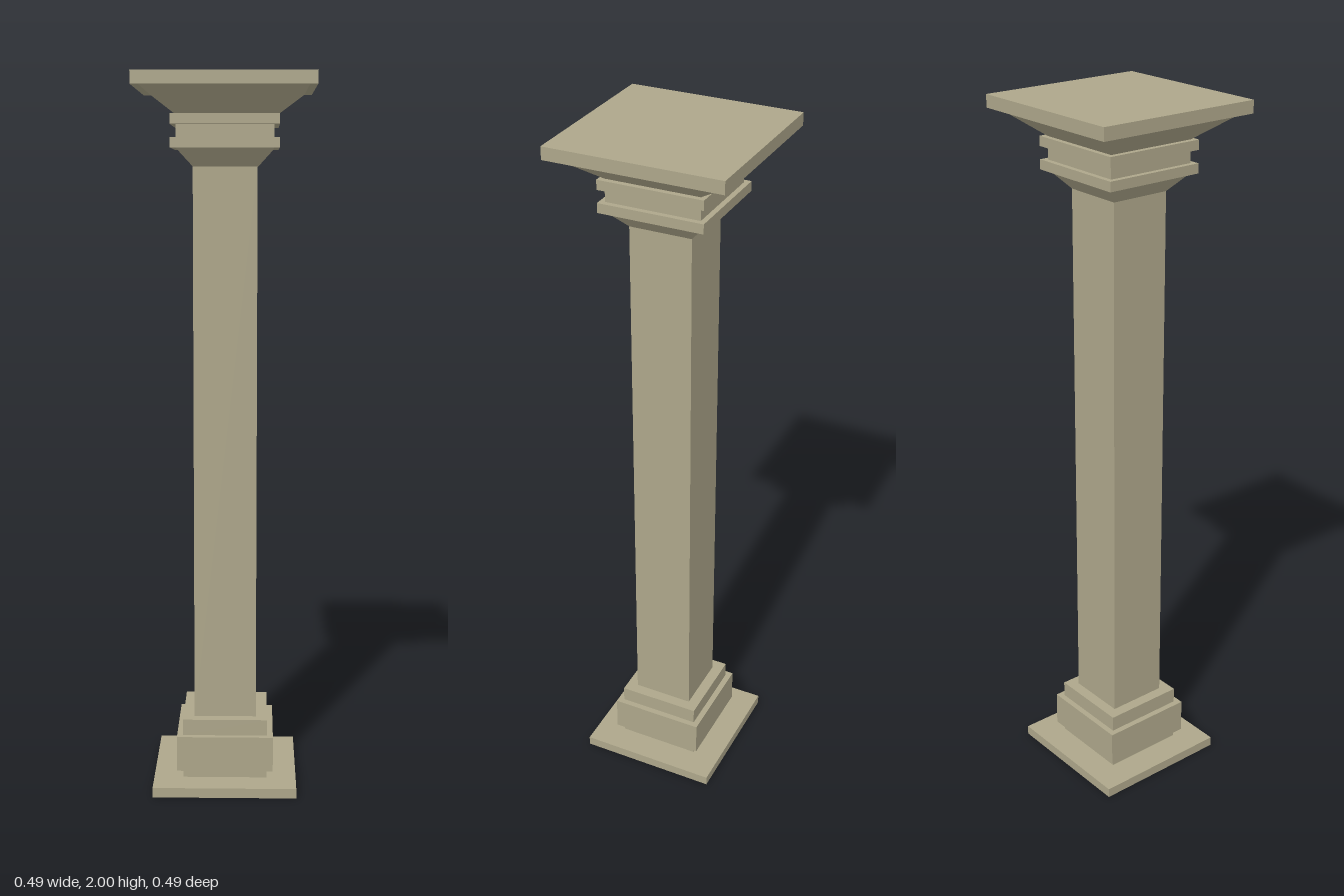
import * as THREE from 'three';

const stone = new THREE.MeshStandardMaterial({ color: 0xada68a, flatShading: true });

// Square block from y0 to y1 with its own half-width at bottom and top
function block(name, y0, y1, bottom, top = bottom) {
  const geo = new THREE.BoxGeometry(2, y1 - y0, 2);
  const p = geo.attributes.position;
  for (let i = 0; i < p.count; i++) {
    const half = p.getY(i) < 0 ? bottom : top;
    p.setX(i, p.getX(i) * half);
    p.setZ(i, p.getZ(i) * half);
  }
  geo.computeVertexNormals();
  const mesh = new THREE.Mesh(geo, stone);
  mesh.name = name;
  mesh.position.y = (y0 + y1) / 2;
  return mesh;
}

export function createModel() {
  const column = new THREE.Group();
  column.name = 'squareColumn';

  // Stepped base
  const base = new THREE.Group();
  base.name = 'base';
  base.add(
    block('plinth', 0, 0.028, 0.203),
    block('baseFillet', 0.028, 0.053, 0.12),
    block('baseBlock', 0.053, 0.154, 0.137),
    block('baseStep', 0.154, 0.2, 0.12),
  );

  // Capital with two flares, a banded neck and a flat top slab
  const capital = new THREE.Group();
  capital.name = 'capital';
  capital.add(
    block('lowerFlare', 1.757, 1.806, 0.088, 0.132),
    block('lowerBand', 1.806, 1.833, 0.147),
    block('neck', 1.833, 1.868, 0.132),
    block('upperBand', 1.868, 1.895, 0.147),
    block('upperFlare', 1.895, 1.965, 0.132, 0.223),
    block('abacus', 1.965, 2, 0.244),
  );

  column.add(base, block('shaft', 0.2, 1.757, 0.088), capital);
  return column;
}
